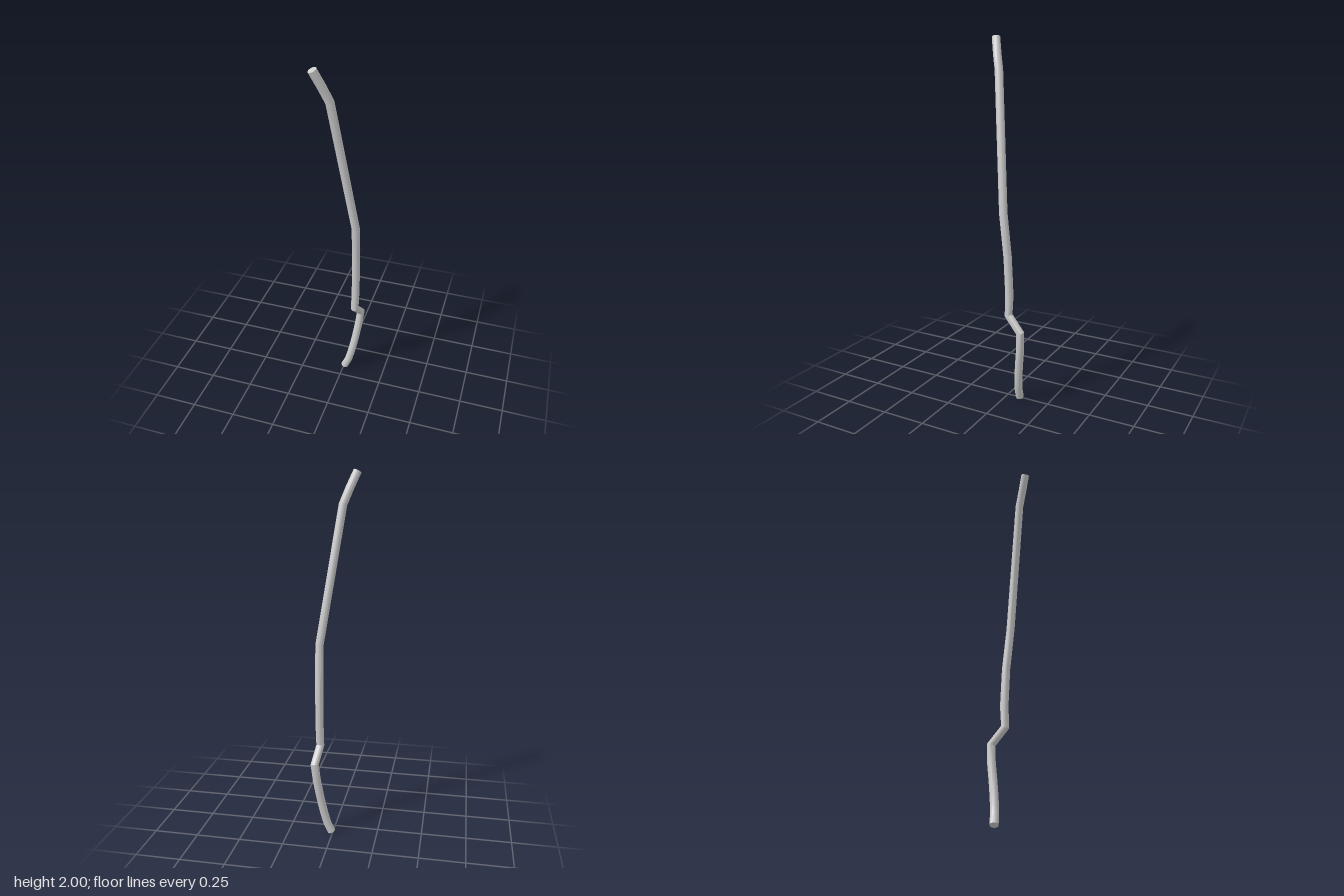
import * as THREE from 'three';
import { toCreasedNormals } from 'three/addons/utils/BufferGeometryUtils.js';

const RADIUS = 0.0225;
const SIDES = 24;

// Centre line, from the foot to the tip
const POINTS = [
  [0.006, 0.01, -0.078], [0.03, 0.065, -0.083], [0.045, 0.125, -0.089], [0.058, 0.19, -0.097],
  [0.068, 0.25, -0.105], [0.08, 0.335, -0.117], [0.092, 0.435, -0.123],
  [0.076, 0.52, -0.043], [0.078, 0.635, -0.049], [0.081, 0.85, -0.04], [0.082, 0.965, -0.028],
  [0.083, 1.09, -0.015], [-0.028, 1.825, 0.07], [-0.058, 1.905, 0.096], [-0.094, 1.991, 0.123],
].map((p) => new THREE.Vector3(...p));

// Straight runs between points; each joint's ring lies on the bisecting plane
class JointedPath extends THREE.Curve {
  getPoint(t, target = new THREE.Vector3()) {
    const s = t * (POINTS.length - 1);
    const i = Math.min(Math.floor(s + 1e-6), POINTS.length - 2);
    return target.lerpVectors(POINTS[i], POINTS[i + 1], s - i);
  }
  getPointAt(u, target) {
    return this.getPoint(u, target);
  }
  getTangentAt(u, target = new THREE.Vector3()) {
    const last = POINTS.length - 1;
    const i = Math.round(u * last);
    const run = (k) => POINTS[k + 1].clone().sub(POINTS[k]).normalize();
    return target.copy(run(Math.max(i - 1, 0))).add(run(Math.min(i, last - 1))).normalize();
  }
}

export function createModel() {
  const group = new THREE.Group();
  group.name = 'bentRod';
  const material = new THREE.MeshStandardMaterial({ color: 0xcccccc });
  const path = new JointedPath();

  // Round rod with kinks
  const tube = new THREE.TubeGeometry(path, POINTS.length - 1, RADIUS, SIDES, false);
  const rod = new THREE.Mesh(toCreasedNormals(tube, 0.6), material);
  rod.name = 'rod';
  group.add(rod);

  // Flat end caps, facing outward
  const addCap = (name, u, sign) => {
    const cap = new THREE.Mesh(new THREE.CircleGeometry(RADIUS, SIDES), material);
    cap.name = name;
    cap.position.copy(path.getPointAt(u));
    const outward = path.getTangentAt(u).multiplyScalar(sign);
    cap.quaternion.setFromUnitVectors(new THREE.Vector3(0, 0, 1), outward);
    group.add(cap);
  };
  addCap('bottomCap', 0, -1);
  addCap('topCap', 1, 1);
  return group;
}
